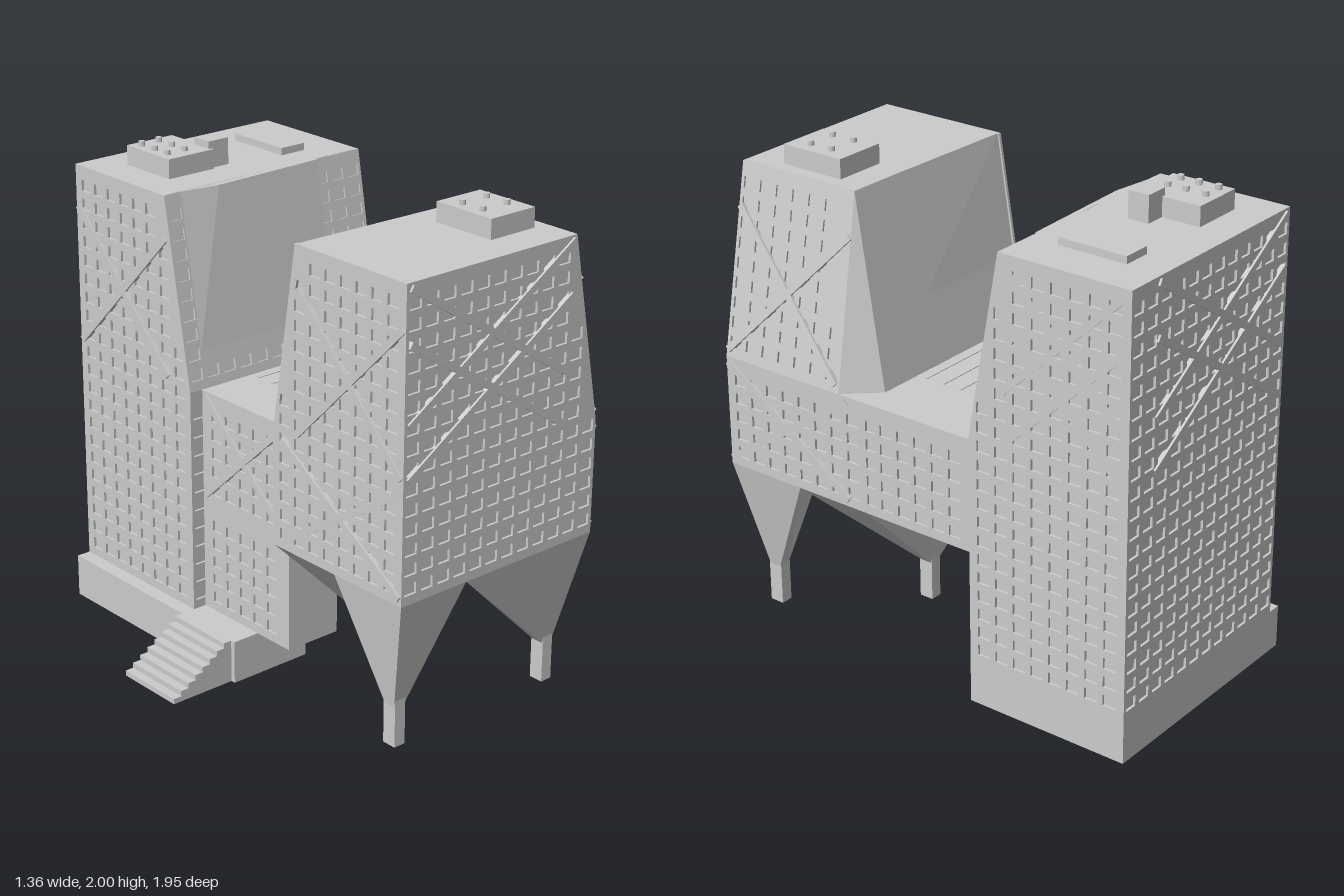
import * as THREE from 'three';
import { ConvexGeometry } from 'three/addons/geometries/ConvexGeometry.js';

const mat = new THREE.MeshStandardMaterial({ color: 0xcccccc, flatShading: true });
const V = (p) => new THREE.Vector3(...p);
const T = 0.012; // wall thickness, also the window depth
const TOP = 1.89, DECK = 1.12, SOFFIT = 0.65, PLINTH = 0.18;
const L = -0.33, R = 0.67; // side walls

export function createModel() {
  const root = new THREE.Group();
  root.name = 'twinTowerBuilding';

  const add = (parent, name, geo) => {
    const m = new THREE.Mesh(geo, mat);
    m.name = name;
    parent.add(m);
    return m;
  };
  const group = (name) => {
    const g = new THREE.Group();
    g.name = name;
    root.add(g);
    return g;
  };
  // box from min and max on each axis
  const box = (parent, name, x0, x1, y0, y1, z0, z1) =>
    add(parent, name, new THREE.BoxGeometry(x1 - x0, y1 - y0, z1 - z0)
      .translate((x0 + x1) / 2, (y0 + y1) / 2, (z0 + z1) / 2));
  const hull = (parent, name, pts) => add(parent, name, new ConvexGeometry(pts.map(V)));

  // solid core behind the walls, pulled in so the windows read as recesses
  const core = (parent, pts) => {
    const b = new THREE.Box3().setFromPoints(pts.map(V));
    const c = b.getCenter(new THREE.Vector3()), s = b.getSize(new THREE.Vector3());
    const pull = (v, m, size) => m + (v - m) * (1 - (2 * T - 0.003) / size);
    hull(parent, 'core', pts.map(([x, y, z]) => [pull(x, c.x, s.x), y, pull(z, c.z, s.z)]));
  };

  // wall through corners (counter-clockwise from outside, level bottom edge first),
  // pierced by a window grid that shares floor heights over the whole building
  const wall = (parent, name, corners, keep = () => true) => {
    const c = corners.map(V), o = c[0];
    const u = c[1].clone().sub(o), width = u.length();
    u.normalize();
    const n = u.clone().cross(c[c.length - 1].clone().sub(o)).normalize();
    const v = n.clone().cross(u);
    const poly = c.map((p) => new THREE.Vector2(p.clone().sub(o).dot(u), p.clone().sub(o).dot(v)));
    const inside = (x, y) => poly.every((a, i) => {
      const e = poly[(i + 1) % poly.length].clone().sub(a);
      return (e.x * (y - a.y) - e.y * (x - a.x)) / e.length() > 0.008;
    });
    const shape = new THREE.Shape(poly);
    const cols = Math.floor((width - 0.01) / 0.082), hw = 0.029, hh = 0.023;
    for (let row = 0; row < 21; row++) {
      const wy = (0.24 + row * 0.0785 - o.y) / v.y;
      for (let i = 0; i < cols; i++) {
        const wx = width / 2 + (i - (cols - 1) / 2) * 0.083;
        const q = [[-hw, -hh], [-hw, hh], [hw, hh], [hw, -hh]].map(([a, b]) => new THREE.Vector2(wx + a, wy + b));
        const world = o.clone().addScaledVector(u, wx).addScaledVector(v, wy);
        if (q.every((p) => inside(p.x, p.y)) && keep(world)) shape.holes.push(new THREE.Path(q));
      }
    }
    const geo = new THREE.ExtrudeGeometry(shape, { depth: T, bevelEnabled: false });
    geo.applyMatrix4(new THREE.Matrix4().makeBasis(u, v, n).setPosition(o.clone().addScaledVector(n, -T)));
    return add(parent, name, geo);
  };

  // diagonal brace lying on a wall
  const brace = (parent, a, b, normal, proud = 0.009) => {
    const p = V(a), q = V(b), d = q.clone().sub(p), len = d.length();
    d.normalize();
    const n = V(normal).normalize(), w = n.clone().cross(d);
    const mid = p.add(q).multiplyScalar(0.5).addScaledVector(n, proud - 0.01);
    add(parent, 'brace', new THREE.BoxGeometry(len, 0.028, 0.02)
      .applyMatrix4(new THREE.Matrix4().makeBasis(d, w, n).setPosition(mid)));
  };
  // crossed pair; at(s, y) gives the point on the wall
  const cross = (parent, at, s0, s1, y0, y1, normal, proud) => {
    brace(parent, at(s0, y0), at(s1, y1), normal, proud);
    brace(parent, at(s0, y1), at(s1, y0), normal, proud);
  };
  const none = () => false;

  // ---------- back tower ----------
  const back = group('backTower');
  const zb = -0.965, zf = -0.25, zt = -0.39;
  core(back, [L, R].flatMap((x) => [[x, 0, zb], [x, TOP, zb], [x, 0, zf], [x, DECK, zf], [x, TOP, zt]]));
  wall(back, 'backWall', [[R, 0, zb], [L, 0, zb], [L, TOP, zb], [R, TOP, zb]]);
  wall(back, 'rightWall', [[R, 0, zf], [R, 0, zb], [R, TOP, zb], [R, TOP, zt], [R, DECK, zf]]);
  wall(back, 'leftWall', [[L, 0, zb], [L, 0, zf], [L, DECK, zf], [L, TOP, zt], [L, TOP, zb]]);
  wall(back, 'lowerFrontWall', [[L, 0, zf], [R, 0, zf], [R, DECK, zf], [L, DECK, zf]]);
  wall(back, 'slopedFrontWall', [[L, DECK, zf], [R, DECK, zf], [R, TOP, zt], [L, TOP, zt]],
    (p) => p.y < 1.26 || p.x > 0.45 || p.x < -0.25);
  hull(back, 'slopedPanel', [[-0.25, TOP, zt], [-0.08, TOP, -0.365], [0.44, TOP, -0.383],
    [-0.25, 1.27, -0.277], [0.44, 1.27, -0.277], [-0.25, 1.27, -0.29], [0.44, 1.27, -0.29], [0.44, TOP, -0.4]]);
  for (const y of [1.14, 1.35]) {
    cross(back, (s, h) => [s, h, zb], -0.31, 0.51, y, y + 0.52, [0, 0, -1]);
    cross(back, (s, h) => [R, h, s], -0.93, -0.4, y, y + 0.5, [1, 0, 0], 0.001);
  }
  cross(back, (s, h) => [L, h, s], -0.95, -0.385, 1.15, 1.72, [-1, 0, 0]);

  // ---------- front tower ----------
  const front = group('frontTower');
  const z0 = 0.25, z1 = 0.965, xt = 0.52;
  core(front, [[L, SOFFIT, z0], [R, SOFFIT, z0], [R, SOFFIT, z1], [L, SOFFIT, z1],
    [L, DECK, z0], [R, DECK, z0], [R, DECK, z1], [L, DECK, z1]]);
  core(front, [[L, DECK, z0], [0.55, DECK, z0], [R, DECK, 0.38], [R, DECK, z1], [L, DECK, z1],
    [L, TOP, 0.375], [xt, TOP, 0.4], [xt, TOP, z1], [L, TOP, z1]]);
  wall(front, 'frontWall', [[L, SOFFIT, z1], [R, SOFFIT, z1], [R, DECK, z1], [xt, TOP, z1], [L, TOP, z1]]);
  wall(front, 'leftWall', [[L, SOFFIT, z0], [L, SOFFIT, z1], [L, TOP, z1], [L, TOP, 0.375], [L, DECK, z0]]);
  wall(front, 'slopedRightWall', [[R, DECK, z1], [R, DECK, 0.38], [xt, TOP, 0.4], [xt, TOP, z1]]);
  wall(front, 'slopedBackWall', [[0.55, DECK, z0], [L, DECK, z0], [L, TOP, 0.375], [xt, TOP, 0.4]], none);
  wall(front, 'cornerChamfer', [[R, DECK, 0.38], [0.55, DECK, z0], [xt, TOP, 0.4]], none);
  wall(front, 'lowerBackWall', [[R, SOFFIT, z0], [L, SOFFIT, z0], [L, DECK, z0], [R, DECK, z0]], none);
  for (const y of [1.14, 1.35]) cross(front, (s, h) => [s, h, z1], -0.31, 0.51, y, y + 0.52, [0, 0, 1]);
  const lean = (R - xt) / (TOP - DECK);
  cross(front, (s, h) => [R - (h - DECK) * lean, h, s], 0.4, 0.955, 1.15, 1.72, [1, lean, 0]);
  cross(front, (s, h) => [R, h, s], 0.34, 0.955, 0.68, 1.1, [1, 0, 0]);
  cross(front, (s, h) => [L, h, s], 0.39, 0.955, 1.15, 1.72, [-1, 0, 0]);
  cross(front, (s, h) => [L, h, s], 0.3, 0.955, 0.68, 1.1, [-1, 0, 0]);

  // ---------- bridge between the towers ----------
  const bridge = group('bridge');
  const bl = -0.27;
  box(bridge, 'bridgeCore', bl + 0.01, R - 0.01, SOFFIT, DECK, zf, z0 + 0.02);
  wall(bridge, 'bridgeRightWall', [[R, SOFFIT, z1], [R, SOFFIT, zf], [R, DECK, zf], [R, DECK, z1]]);
  wall(bridge, 'bridgeLeftWall', [[bl, SOFFIT, zf], [bl, SOFFIT, z0], [bl, DECK, z0], [bl, DECK, zf]]);
  cross(bridge, (s, h) => [bl, h, s], -0.23, 0.23, 0.68, 1.1, [-1, 0, 0]);
  box(bridge, 'cornerDeck', 0.5, R - 0.005, DECK - 0.02, DECK, z0 - 0.02, 0.38);
  for (let i = 0; i < 6; i++) {
    const z = -0.21 + i * 0.084;
    box(bridge, 'roofRib', -0.02, 0.36, DECK - 0.005, DECK + 0.003, z - 0.01, z + 0.01);
  }

  // ---------- entrance hall, terrace and stairs ----------
  const entry = group('entrance');
  box(entry, 'hall', bl + 0.01, -0.02, PLINTH, SOFFIT, zf, z0);
  box(entry, 'hallEndFin', bl, -0.02, PLINTH, SOFFIT, z0, z0 + 0.02);
  wall(entry, 'hallWindowWall', [[bl, PLINTH, zf], [bl, PLINTH, z0], [bl, SOFFIT, z0], [bl, SOFFIT, zf]]);
  box(entry, 'sideTerrace', -0.39, L + 0.01, 0, PLINTH, zb, zf);
  box(entry, 'entranceTerrace', -0.39, -0.02, 0, PLINTH, zf, 0.08);
  const steps = 8, run = 0.29 / steps;
  for (let i = 0; i < steps; i++) {
    const x = -0.68 + i * run;
    box(entry, 'step', x, x + run, 0, (PLINTH * (i + 1)) / steps, zf, 0.06);
  }

  // ---------- funnel supports tapering to square legs ----------
  const supports = group('supports');
  const funnel = (name, x, z, top) => {
    const h = 0.026, sq = [[-h, -h], [h, -h], [h, h], [-h, h]];
    hull(supports, name + 'Funnel', [
      ...top.map(([a, b]) => [a, SOFFIT, b]),
      ...sq.map(([a, b]) => [x + a, PLINTH, z + b])]);
    box(supports, name + 'Leg', x - h, x + h, 0.01, 0.22, z - h * 1.2, z + h * 1.2);
  };
  funnel('frontLeft', -0.243, 0.847, [[L, z1], [0, z1], [L, 0.6]]);
  funnel('frontRight', 0.55, 0.847, [[R, z1], [0, z1], [R, 0.6]]);
  funnel('rear', 0.152, 0.378, [[L, 0.26], [R, 0.26], [R, 0.6], [0, z1], [L, 0.6]]);

  // ---------- roof equipment ----------
  const roof = group('roofEquipment');
  const vents = (xs, zs) => {
    for (const x of xs) for (const z of zs)
      add(roof, 'vent', new THREE.CylinderGeometry(0.013, 0.013, 0.03, 12).translate(x, 1.975, z));
  };
  box(roof, 'backPlantRoom', -0.18, 0.045, TOP, 1.97, -0.82, -0.55);
  vents([-0.14, -0.055], [-0.775, -0.69, -0.61]);
  box(roof, 'stairHead', 0.03, 0.13, TOP, 2, -0.655, -0.565);
  box(roof, 'skylight', 0.37, 0.49, TOP, 1.92, -0.815, -0.52);
  box(roof, 'frontPlantRoom', 0.23, 0.455, TOP, 1.97, 0.525, 0.81);
  vents([0.275, 0.4], [0.615, 0.72]);

  return root;
}
